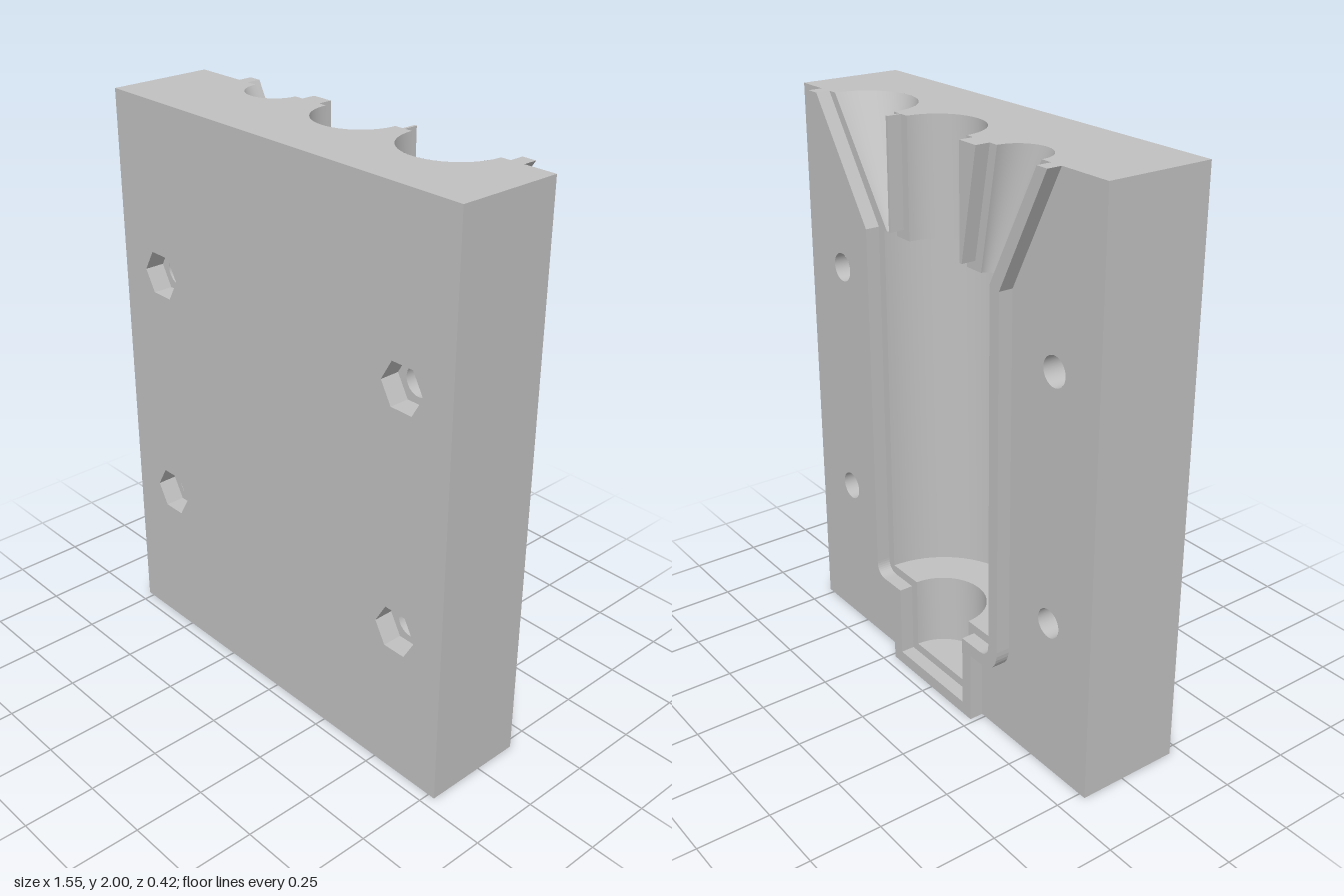
import * as THREE from 'three';

const W = 0.775, H = 2, FRONT = 0.21, BACK = -0.16, RIM = -0.21;
const SEG = 32;
const NECK = 0.155, BODY = 0.3;
const BODY_TOP = 1.6, BODY_BASE = 0.338, NECK_BASE = 0.078;

// Funnels: centre and radius at the top and where they enter the body
const funnels = [
  { name: 'pouringFunnel', x: 0.4, r: 0.175, x0: 0.255, r0: 0.03 },
  { name: 'ventFunnel', x: -0.4, r: 0.1, x0: -0.255, r0: 0.03 },
];
const bolts = [-0.575, 0.575].flatMap((x) => [0.55, 1.4].map((y) => [x, y]));
const HEX_R = 0.085, BOLT_R = 0.05, HEX_DEPTH = 0.07;

// Closed shape from [x, y, cornerRadius] points
function roundedShape(pts) {
  const s = new THREE.Shape();
  const n = pts.length;
  const toward = (p, q, r) => {
    const d = new THREE.Vector2(q[0] - p[0], q[1] - p[1]).setLength(r);
    return [p[0] + d.x, p[1] + d.y];
  };
  pts.forEach((p, i) => {
    const put = (q) => (i === 0 ? s.moveTo(...q) : s.lineTo(...q));
    if (!p[2]) return put([p[0], p[1]]);
    put(toward(p, pts[(i + n - 1) % n], p[2]));
    s.quadraticCurveTo(p[0], p[1], ...toward(p, pts[(i + 1) % n], p[2]));
  });
  s.closePath();
  return s;
}

function circlePath(x, y, r) {
  const p = new THREE.Path();
  p.absarc(x, y, r, 0, Math.PI * 2, false);
  return p;
}

function hexPath(x, y, r) {
  const p = new THREE.Path();
  p.setFromPoints([0, 1, 2, 3, 4, 5].map((k) =>
    new THREE.Vector2(x + r * Math.cos(k * Math.PI / 3), y + r * Math.sin(k * Math.PI / 3))));
  p.closePath();
  return p;
}

export function createModel() {
  const group = new THREE.Group();
  const grey = new THREE.MeshStandardMaterial({ color: 0xc0c0c0, side: THREE.DoubleSide });
  grey.name = 'grey';
  const add = (name, geo, x = 0, y = 0, z = 0) => {
    const m = new THREE.Mesh(geo, grey);
    m.name = name;
    m.position.set(x, y, z);
    group.add(m);
    return m;
  };

  // Flat face seen from the back
  const backFace = (name, shape) => {
    const g = new THREE.ShapeGeometry(shape, SEG);
    g.scale(-1, 1, 1).rotateY(Math.PI);
    const idx = g.index.array;
    for (let i = 0; i < idx.length; i += 3) [idx[i], idx[i + 1]] = [idx[i + 1], idx[i]];
    g.computeVertexNormals();
    add(name, g, 0, 0, BACK);
  };

  // Level face: straight back edge with half-round notches, then a box or half disc
  const levelFace = (name, y, half, notches, depth, up) => {
    const s = new THREE.Shape();
    s.moveTo(-half, 0);
    [...notches].sort((a, b) => a[0] - b[0]).forEach(([x, r]) => {
      s.lineTo(x - r, 0);
      s.absarc(x, 0, r, Math.PI, 0, true);
    });
    s.lineTo(half, 0);
    if (depth) s.lineTo(half, depth).lineTo(-half, depth);
    else s.absarc(0, 0, half, 0, Math.PI, false);
    const g = new THREE.ShapeGeometry(s, SEG);
    g.rotateX(Math.PI / 2);
    if (up) {
      const idx = g.index.array;
      for (let i = 0; i < idx.length; i += 3) [idx[i], idx[i + 1]] = [idx[i + 1], idx[i]];
      g.computeVertexNormals();
    }
    add(name, g, 0, y, BACK);
  };

  // Half-round trough between two heights, leaning from x0 below to x1 above
  const trough = (name, y0, y1, r0, r1, x0 = 0, x1 = 0) => {
    const h = y1 - y0;
    const g = new THREE.CylinderGeometry(r1, r0, h, SEG, 1, true, -Math.PI / 2, Math.PI);
    const p = g.attributes.position;
    for (let i = 0; i < p.count; i++) {
      p.setX(i, p.getX(i) + x0 + (x1 - x0) * (p.getY(i) / h + 0.5));
    }
    g.computeVertexNormals();
    // Turned inside out so the hollow side faces out
    const idx = g.index.array;
    for (let i = 0; i < idx.length; i += 3) [idx[i], idx[i + 1]] = [idx[i + 1], idx[i]];
    g.computeVertexNormals();
    add(name, g, 0, y0 + h / 2, BACK);
  };

  // Block faces
  const T = FRONT - BACK;
  const front = roundedShape([[-W, 0], [W, 0], [W, H], [-W, H]]);
  bolts.forEach(([x, y]) => front.holes.push(hexPath(x, y, HEX_R)));
  add('blockFront', new THREE.ShapeGeometry(front), 0, 0, FRONT);

  for (const s of [-1, 1]) {
    const side = new THREE.PlaneGeometry(T, H).rotateY(s * Math.PI / 2);
    add(s > 0 ? 'blockLeftSide' : 'blockRightSide', side, s * W, H / 2, (FRONT + BACK) / 2);
  }
  add('blockBottom', new THREE.PlaneGeometry(2 * W, T).rotateX(Math.PI / 2), 0, 0, (FRONT + BACK) / 2);
  levelFace('blockTop', H, W, [[0, NECK], ...funnels.map((f) => [f.x, f.r])], T, true);

  const [big, small] = funnels;
  const back = roundedShape([
    [-W, H], [-W, 0], [W, 0], [W, H], [big.x + big.r, H],
    [big.x0 + big.r0, BODY_TOP], [BODY, BODY_TOP], [BODY, BODY_BASE], [NECK, BODY_BASE], [NECK, NECK_BASE],
    [-NECK, NECK_BASE], [-NECK, BODY_BASE], [-BODY, BODY_BASE], [-BODY, BODY_TOP],
    [small.x0 - small.r0, BODY_TOP], [small.x - small.r, H],
  ]);
  bolts.forEach(([x, y]) => back.holes.push(circlePath(x, y, BOLT_R)));
  backFace('partingFace', back);

  // Hollow: neck, body, upper channel and the funnels
  levelFace('neckFloor', NECK_BASE, NECK, [], 0, true);
  trough('neckHollow', NECK_BASE, BODY_BASE, NECK, NECK);
  levelFace('lowerShoulder', BODY_BASE, BODY, [[0, NECK]], 0, true);
  trough('bodyHollow', BODY_BASE, BODY_TOP, BODY, BODY);
  levelFace('upperShoulder', BODY_TOP, BODY, [[0, NECK], ...funnels.map((f) => [f.x0, f.r0])], 0, false);
  trough('upperChannel', BODY_TOP, H, NECK, NECK);
  funnels.forEach((f) => trough(f.name, BODY_TOP, H, f.r0, f.r, f.x0, f.x));

  // Raised sealing rim around the hollow
  const raise = (name, shape) => add(name, new THREE.ExtrudeGeometry(shape,
    { depth: BACK - RIM, bevelEnabled: false, curveSegments: 10 }), 0, 0, RIM);
  raise('sealingRim', roundedShape([
    [-0.585, H], [-0.378, 1.595], [-0.378, 0.26, 0.09], [-0.233, 0.26], [-0.233, 0],
    [0.233, 0], [0.233, 0.26], [0.378, 0.26, 0.09], [0.378, 1.595], [0.66, H],
    [0.61, H], [0.333, 1.605], [0.333, 0.306, 0.05], [0.187, 0.306], [0.187, 0.046],
    [-0.187, 0.046], [-0.187, 0.306], [-0.333, 0.306, 0.05], [-0.333, 1.605], [-0.54, H],
  ]));

  // Lands and ridges dividing the channel from each funnel
  funnels.forEach((f) => {
    const s = Math.sign(f.x);
    const top = Math.abs(f.x) - f.r, low = Math.abs(f.x0) - f.r0;
    backFace('dividerLand', roundedShape([
      [s * NECK, H], [s * NECK, BODY_TOP], [s * low, BODY_TOP], [s * top, H]]));
    raise('dividerRidge', roundedShape([
      [s * 0.186, H], [s * 0.186, 1.63], [s * (low - 0.029), 1.63], [s * (top - 0.034 + (s > 0 ? 0.005 : 0)), H]]));
  });

  // Bolt holes with hexagonal nut pockets
  bolts.forEach(([x, y]) => {
    const len = T - HEX_DEPTH;
    add('boltHole', new THREE.CylinderGeometry(BOLT_R, BOLT_R, len, SEG, 1, true)
      .rotateX(Math.PI / 2), x, y, BACK + len / 2);
    const hex = new THREE.CylinderGeometry(HEX_R, HEX_R, HEX_DEPTH, 6, 1, true, Math.PI / 2)
      .rotateX(Math.PI / 2).toNonIndexed();
    hex.computeVertexNormals();
    add('nutPocket', hex, x, y, FRONT - HEX_DEPTH / 2);
    const floor = new THREE.Shape(hexPath(0, 0, HEX_R).getPoints());
    floor.holes.push(circlePath(0, 0, BOLT_R));
    add('nutPocketFloor', new THREE.ShapeGeometry(floor, SEG), x, y, FRONT - HEX_DEPTH);
  });

  return group;
}
